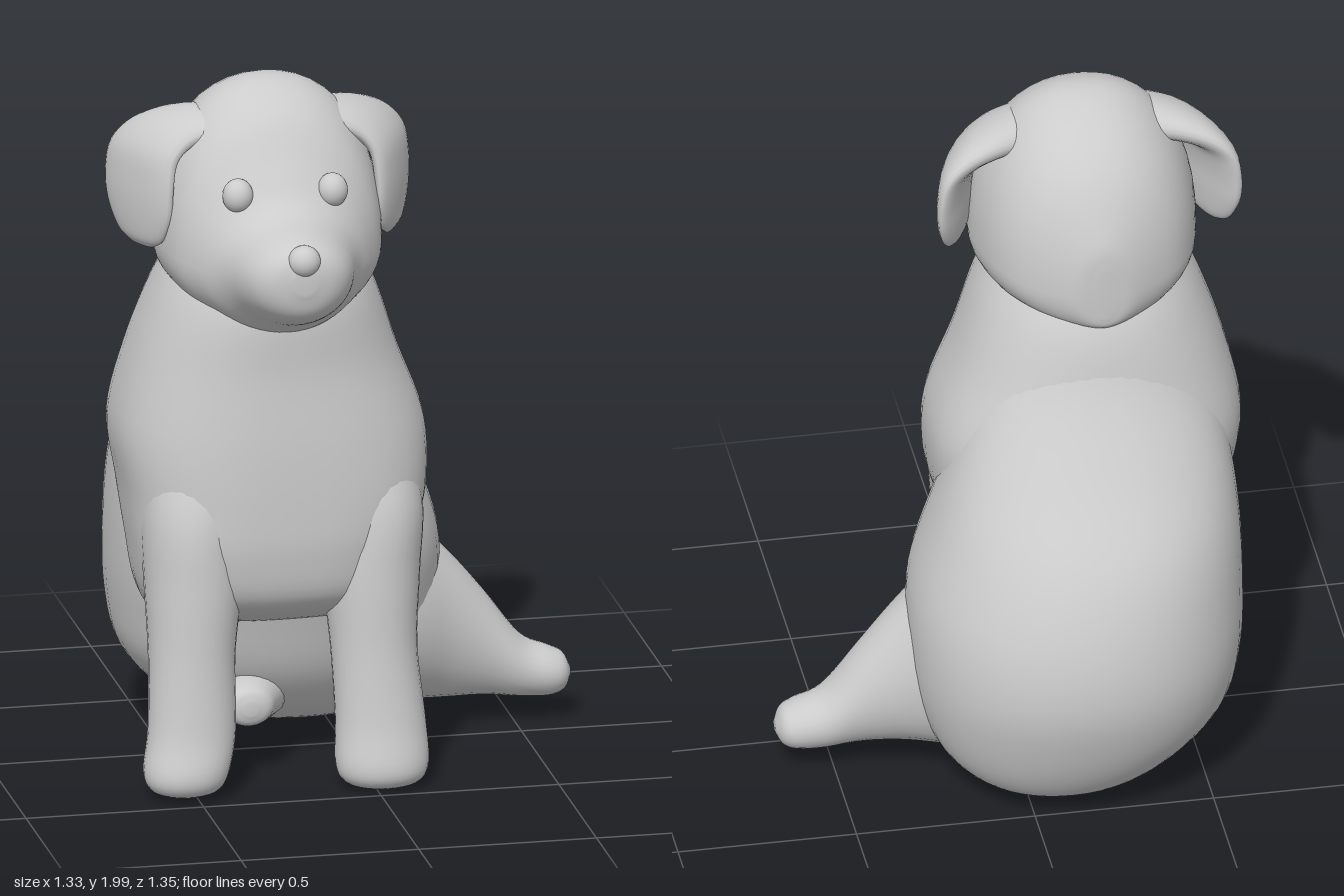
import * as THREE from 'three';

const V = (x, y, z) => new THREE.Vector3(x, y, z);
const material = new THREE.MeshStandardMaterial({ color: 0xcccccc, roughness: 0.8 });
const CX = -0.245; // centre line of the head

// Skin smooth cross-sections. A ring has a centre c, half axes u and v,
// k = size of the -v half against the +v half, e = roundness exponent.
// Rings must advance along u x v.
function loft(name, rings, sides = 40, steps = 5) {
  const curve = f => new THREE.CatmullRomCurve3(rings.map(f), false, 'catmullrom', 0.5);
  const cc = curve(r => r.c), cu = curve(r => r.u), cv = curve(r => r.v);
  const ck = curve(r => V(r.k ?? 1, r.e ?? 2, 0));
  const n = (rings.length - 1) * steps;
  const pos = [], index = [];
  for (let i = 0; i <= n; i++) {
    const t = i / n;
    const c = cc.getPoint(t), u = cu.getPoint(t), v = cv.getPoint(t), p = ck.getPoint(t);
    for (let j = 0; j < sides; j++) {
      const a = (j / sides) * Math.PI * 2;
      const bend = s => Math.sign(s) * Math.pow(Math.abs(s), 2 / p.y);
      const s = bend(Math.sin(a));
      const q = c.clone().addScaledVector(u, bend(Math.cos(a))).addScaledVector(v, s < 0 ? s * p.x : s);
      pos.push(q.x, q.y, q.z);
      if (i < n) {
        const A = i * sides + j, B = i * sides + ((j + 1) % sides);
        index.push(A, B, B + sides, A, B + sides, A + sides);
      }
    }
  }
  // close both ends with fans
  const first = pos.length / 3, last = first + 1, o = n * sides;
  pos.push(...cc.getPoint(0).toArray(), ...cc.getPoint(1).toArray());
  for (let j = 0; j < sides; j++) {
    const k = (j + 1) % sides;
    index.push(first, k, j, last, o + j, o + k);
  }
  const g = new THREE.BufferGeometry();
  g.setAttribute('position', new THREE.Float32BufferAttribute(pos, 3));
  g.setIndex(index);
  g.computeVertexNormals();
  const mesh = new THREE.Mesh(g, material);
  mesh.name = name;
  return mesh;
}

// Rings for lofts along y, x and z
const ringY = ([y, x, z, rx, rz, e = 2.1]) => ({ c: V(x, y, z), u: V(0, 0, rz), v: V(rx, 0, 0), e });
const ringX = ([x, y, z, ry, rz]) => ({ c: V(x, y, z), u: V(0, ry, 0), v: V(0, 0, rz) });
const ringZ = ([z, x, y, rx, ry]) => ({ c: V(x, y, z), u: V(rx, 0, 0), v: V(0, ry, 0) });

function ball(name, x, y, z, rx, ry, rz) {
  const mesh = new THREE.Mesh(new THREE.SphereGeometry(1, 20, 14), material);
  mesh.position.set(x, y, z);
  mesh.scale.set(rx, ry, rz);
  mesh.name = name;
  return mesh;
}

// Drooping ear flap: leaves the side of the head and folds downward
function ear(side, name) {
  const wide = V(-0.42 * side, 0, 0.9).normalize();
  const rows = [ // offset from head centre, y, z, half width, half thickness
    [0.12, 1.87, 0.13, 0.10, 0.05], [0.21, 1.865, 0.12, 0.125, 0.05],
    [0.29, 1.84, 0.11, 0.135, 0.045], [0.34, 1.79, 0.11, 0.145, 0.04],
    [0.355, 1.71, 0.115, 0.15, 0.036], [0.355, 1.63, 0.12, 0.14, 0.034],
    [0.352, 1.56, 0.125, 0.10, 0.026], [0.35, 1.53, 0.128, 0.05, 0.01],
  ];
  const pts = rows.map(r => V(CX + side * r[0], r[1], r[2]));
  return loft(name, rows.map((r, i) => {
    const d = pts[Math.min(i + 1, pts.length - 1)].clone().sub(pts[Math.max(i - 1, 0)]);
    return {
      c: pts[i],
      u: wide.clone().multiplyScalar(r[3]),
      v: d.cross(wide).normalize().multiplyScalar(r[4]),
    };
  }), 24, 4);
}

export function createModel() {
  const dog = new THREE.Group();
  dog.name = 'sittingPuppy';

  // Round rump rising into the sloping back: y, x, z, rx, rz
  dog.add(loft('rumpAndBack', [
    [0.03, -0.10, -0.31, 0.06, 0.05],
    [0.06, -0.10, -0.29, 0.22, 0.20],
    [0.13, -0.12, -0.25, 0.34, 0.315],
    [0.26, -0.15, -0.225, 0.43, 0.405],
    [0.42, -0.16, -0.215, 0.46, 0.455],
    [0.60, -0.17, -0.185, 0.46, 0.468],
    [0.80, -0.20, -0.16, 0.425, 0.415],
    [1.00, -0.225, -0.125, 0.375, 0.305],
    [1.20, -0.24, -0.05, 0.31, 0.25],
    [1.36, -0.25, -0.01, 0.25, 0.22],
  ].map(ringY), 48));

  // Chest and neck, squared where the shoulders join: y, x, z, rx, rz, exponent
  dog.add(loft('chest', [
    [0.41, -0.20, 0.03, 0.22, 0.08, 2.2],
    [0.47, -0.22, 0.09, 0.34, 0.19, 2.3],
    [0.55, -0.23, 0.125, 0.38, 0.275, 2.5],
    [0.68, -0.235, 0.12, 0.395, 0.315, 2.8],
    [0.82, -0.225, 0.085, 0.42, 0.355, 2.8],
    [1.00, -0.235, 0.06, 0.432, 0.375, 2.5],
    [1.20, -0.25, 0.07, 0.375, 0.35, 2.3],
    [1.38, -0.25, 0.09, 0.315, 0.328, 2.1],
    [1.50, -0.25, 0.10, 0.26, 0.27, 2],
  ].map(ringY), 48));

  // Front legs fading into the shoulders: y, x, z, rx, rz
  const legs = {
    frontLegLeft: [
      [0.01, 0.025, 0.395, 0.06, 0.05], [0.03, 0.025, 0.395, 0.11, 0.092],
      [0.08, 0.025, 0.39, 0.13, 0.112], [0.20, 0.025, 0.365, 0.125, 0.11],
      [0.40, 0.015, 0.325, 0.12, 0.125], [0.60, 0.015, 0.285, 0.135, 0.155],
      [0.80, 0.025, 0.24, 0.14, 0.18], [1.00, -0.02, 0.18, 0.14, 0.16],
    ],
    frontLegRight: [
      [0.02, -0.53, 0.395, 0.06, 0.05], [0.04, -0.53, 0.395, 0.10, 0.088],
      [0.09, -0.525, 0.39, 0.12, 0.107], [0.20, -0.505, 0.365, 0.122, 0.107],
      [0.40, -0.497, 0.325, 0.12, 0.125], [0.60, -0.485, 0.285, 0.135, 0.155],
      [0.80, -0.48, 0.24, 0.14, 0.18], [1.00, -0.45, 0.18, 0.14, 0.16],
    ],
  };
  for (const [name, rows] of Object.entries(legs)) dog.add(loft(name, rows.map(ringY), 28));

  // Hind leg stretched out to the side: x, y, z, ry, rz
  dog.add(loft('hindLegLeft', [
    [0.00, 0.42, -0.16, 0.34, 0.34], [0.18, 0.36, -0.15, 0.275, 0.245],
    [0.31, 0.30, -0.135, 0.215, 0.15], [0.42, 0.235, -0.13, 0.15, 0.105],
    [0.52, 0.165, -0.125, 0.09, 0.088], [0.60, 0.145, -0.12, 0.07, 0.08],
    [0.64, 0.142, -0.12, 0.052, 0.06], [0.66, 0.14, -0.12, 0.015, 0.02],
  ].map(ringX), 28));

  // Tucked hind paw showing between the front legs: z, x, y, rx, ry
  dog.add(loft('hindPawRight', [
    [0.00, -0.27, 0.20, 0.14, 0.11], [0.12, -0.29, 0.20, 0.10, 0.08],
    [0.20, -0.31, 0.205, 0.08, 0.065], [0.245, -0.315, 0.205, 0.06, 0.05],
    [0.26, -0.315, 0.205, 0.02, 0.02],
  ].map(ringZ), 20));

  // Head and muzzle: z, top, widest height, bottom, half width, exponent
  dog.add(loft('head', [
    [-0.24, 1.60, 1.52, 1.45, 0.025, 2],
    [-0.225, 1.69, 1.52, 1.41, 0.10, 2],
    [-0.15, 1.84, 1.53, 1.385, 0.215, 2.1],
    [-0.05, 1.935, 1.54, 1.37, 0.28, 2.2],
    [0.08, 1.993, 1.54, 1.35, 0.312, 2.2],
    [0.18, 1.985, 1.54, 1.34, 0.312, 2.2],
    [0.28, 1.92, 1.53, 1.33, 0.29, 2.1],
    [0.36, 1.805, 1.52, 1.33, 0.245, 2],
    [0.42, 1.72, 1.52, 1.34, 0.205, 2],
    [0.48, 1.685, 1.53, 1.375, 0.178, 2],
    [0.56, 1.665, 1.54, 1.405, 0.152, 2],
    [0.61, 1.65, 1.545, 1.43, 0.125, 2],
    [0.642, 1.625, 1.55, 1.465, 0.085, 2],
    [0.658, 1.59, 1.555, 1.52, 0.03, 2],
  ].map(([z, top, mid, bottom, rx, e]) => ({
    c: V(CX, mid, z), u: V(rx, 0, 0), v: V(0, top - mid, 0), k: (mid - bottom) / (top - mid), e,
  })), 48));
  dog.add(ball('nose', CX, 1.61, 0.632, 0.046, 0.045, 0.043));

  // Paired eyes and ears
  for (const [side, label] of [[1, 'Left'], [-1, 'Right']]) {
    dog.add(ball('eye' + label, CX + side * 0.133, 1.73, 0.378, 0.043, 0.048, 0.043));
    dog.add(ear(side, 'ear' + label));
  }
  return dog;
}
